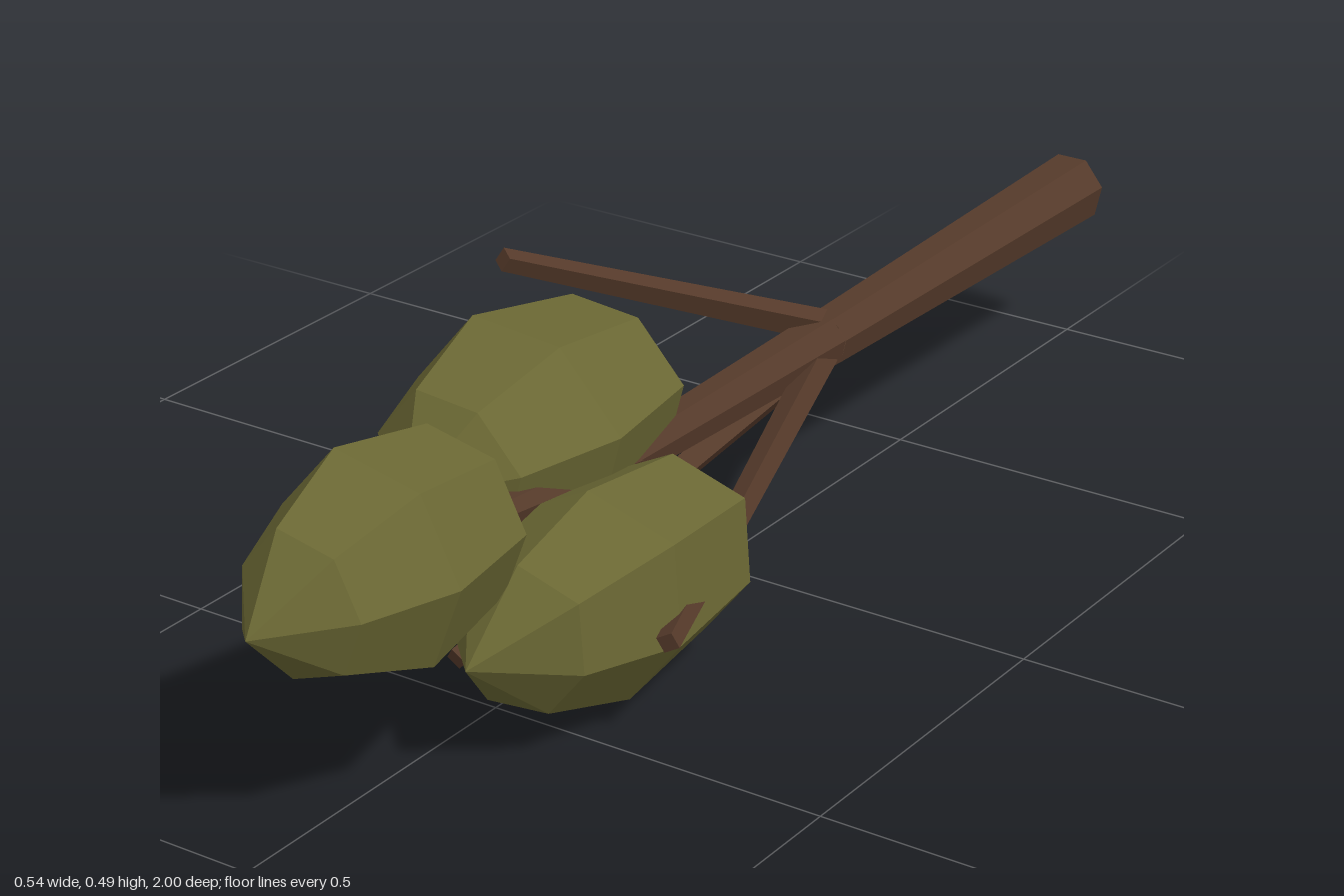
import * as THREE from 'three';

const bark = new THREE.MeshStandardMaterial({ color: 0x553a2a, flatShading: true, side: THREE.DoubleSide });
const leaf = new THREE.MeshStandardMaterial({ color: 0x6b6834, flatShading: true });

// Tapered limb running from one point to another
function limb(name, from, to, r0, r1, sides, open) {
  const a = new THREE.Vector3(...from), b = new THREE.Vector3(...to);
  const dir = b.clone().sub(a);
  const mesh = new THREE.Mesh(new THREE.CylinderGeometry(r1, r0, dir.length(), sides, 1, open), bark);
  mesh.position.copy(a).add(b).multiplyScalar(0.5);
  mesh.quaternion.setFromUnitVectors(new THREE.Vector3(0, 1, 0), dir.normalize());
  mesh.name = name;
  return mesh;
}

// Irregular foliage clump: seven-sided rings along z, closed at both tips.
// radii: equator radius per corner; rings: [z, scale] from back to front
function clump(name, x, y, startDeg, radii, rings) {
  const n = radii.length, pos = [], index = [];
  for (const [z, s] of rings) {
    radii.forEach((r, i) => {
      const t = THREE.MathUtils.degToRad(startDeg) + (i / n) * Math.PI * 2;
      pos.push(x + r * s * Math.cos(t), y + r * s * Math.sin(t), z);
    });
  }
  for (let k = 0; k < rings.length - 1; k++) {
    for (let i = 0; i < n; i++) {
      const j = (i + 1) % n;
      const a = k * n + i, b = k * n + j, c = a + n, d = b + n;
      if (k > 0) index.push(a, b, d);
      if (k < rings.length - 2) index.push(a, d, c);
      else if (k === 0) index.push(a, d, c);
    }
  }
  const geo = new THREE.BufferGeometry();
  geo.setAttribute('position', new THREE.Float32BufferAttribute(pos, 3));
  geo.setIndex(index);
  const flat = geo.toNonIndexed();
  flat.computeVertexNormals();
  const mesh = new THREE.Mesh(flat, leaf);
  mesh.name = name;
  return mesh;
}

export function createModel() {
  const tree = new THREE.Group();
  tree.name = 'fallenTree';

  // Trunk lying along z, hollow at the broken end
  tree.add(limb('lowerTrunk', [-0.003, 0.235, -1], [0, 0.236, -0.28], 0.056, 0.041, 7, true));
  tree.add(limb('upperTrunk', [0, 0.236, -0.28], [-0.005, 0.235, 0.2], 0.041, 0.031, 7, true));
  tree.add(limb('trunkTip', [-0.005, 0.235, 0.2], [0.01, 0.29, 0.62], 0.031, 0.018, 7, false));

  // Bare side branches
  tree.add(limb('upperBranch', [0, 0.25, -0.3], [-0.2, 0.477, 0.2], 0.024, 0.016, 4, false));
  tree.add(limb('sideBranch', [0, 0.23, -0.3], [0.255, 0.155, 0.475], 0.024, 0.016, 4, false));
  tree.add(limb('lowerBranch', [0, 0.222, -0.3], [-0.107, 0.012, 0.445], 0.025, 0.016, 4, false));

  // Foliage clumps
  tree.add(clump('rightFoliage', -0.105, 0.285, 12,
    [0.17, 0.157, 0.168, 0.17, 0.153, 0.16, 0.165],
    [[0, 0], [0.1, 0.77], [0.3, 1], [0.45, 0.7], [0.545, 0]]));
  tree.add(clump('leftFoliage', 0.1, 0.163, 38,
    [0.171, 0.145, 0.14, 0.15, 0.166, 0.15, 0.149],
    [[0.13, 0], [0.24, 0.85], [0.43, 1], [0.58, 0.7], [0.69, 0]]));
  tree.add(clump('frontFoliage', 0.017, 0.315, 4,
    [0.143, 0.15, 0.157, 0.141, 0.161, 0.151, 0.144],
    [[0.5, 0], [0.6, 0.8], [0.77, 1], [0.9, 0.66], [1, 0]]));

  return tree;
}
